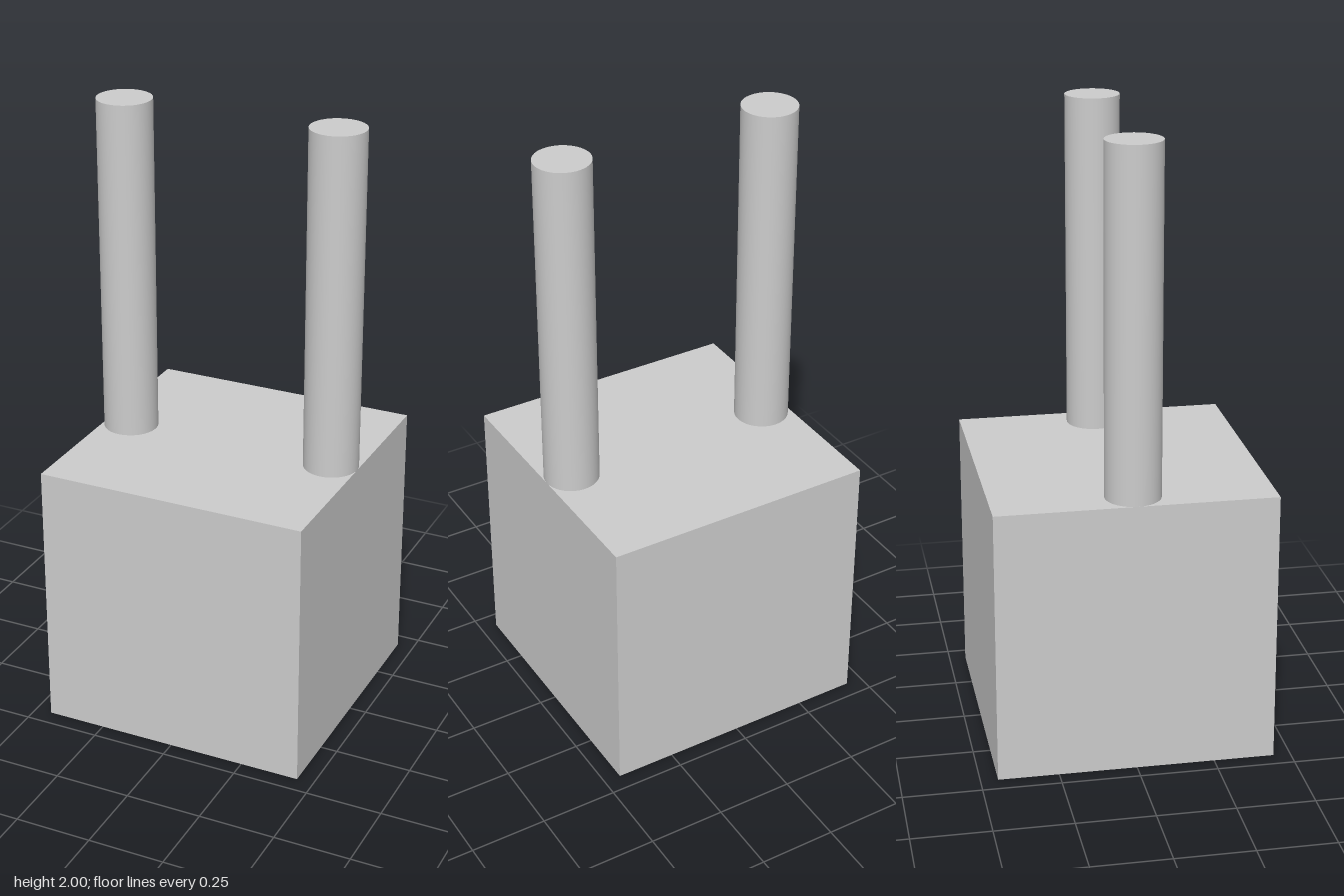
import * as THREE from 'three';

export function createModel() {
  const group = new THREE.Group();
  const grey = new THREE.MeshStandardMaterial({ color: 0xcccccc });
  grey.name = 'lightGrey';

  const size = 0.889, height = 2, radius = 0.089;

  // Cube base
  const base = new THREE.Mesh(new THREE.BoxGeometry(size, size, size), grey);
  base.name = 'base';
  base.position.y = size / 2;
  group.add(base);

  // Two upright prongs, flush with the left and right sides of the base
  const prongGeometry = new THREE.CylinderGeometry(radius, radius, height - size, 32);
  for (const [name, side] of [['leftProng', 1], ['rightProng', -1]]) {
    const prong = new THREE.Mesh(prongGeometry, grey);
    prong.name = name;
    prong.position.set(side * (size / 2 - radius), (height + size) / 2, 0);
    group.add(prong);
  }
  return group;
}
